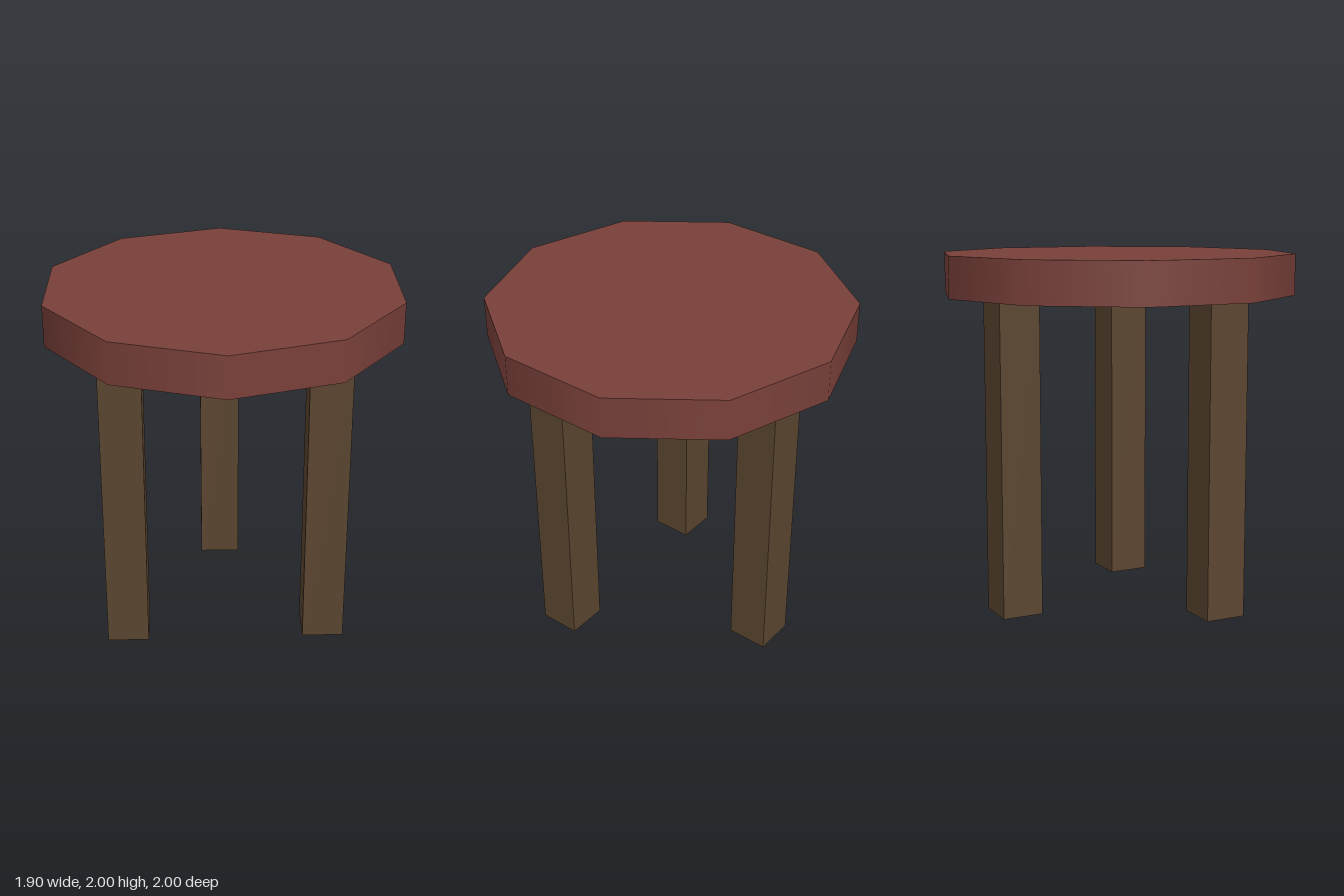
import * as THREE from 'three';

export function createModel() {
  const stool = new THREE.Group();
  stool.name = 'stool';
  const seatMaterial = new THREE.MeshStandardMaterial({ color: 0x7a403a });
  seatMaterial.name = 'reddish brown';
  const legMaterial = new THREE.MeshStandardMaterial({ color: 0x5b452f });
  legMaterial.name = 'dark wood';

  const legHeight = 1.77;
  const seatHeight = 0.23;

  // Ten-sided seat with softly shaded rim
  const seat = new THREE.Mesh(new THREE.CylinderGeometry(1, 1, seatHeight, 10), seatMaterial);
  seat.name = 'seat';
  seat.position.y = legHeight + seatHeight / 2;
  stool.add(seat);

  // Three square legs, placed slightly unevenly
  const legGeometry = new THREE.BoxGeometry(0.233, legHeight, 0.233);
  const legs = [
    ['frontLeftLeg', 0.566, 0.314],
    ['frontRightLeg', -0.556, 0.338],
    ['backLeg', -0.01, -0.646],
  ];
  for (const [name, x, z] of legs) {
    const leg = new THREE.Mesh(legGeometry, legMaterial);
    leg.name = name;
    leg.position.set(x, legHeight / 2, z);
    stool.add(leg);
  }
  return stool;
}
